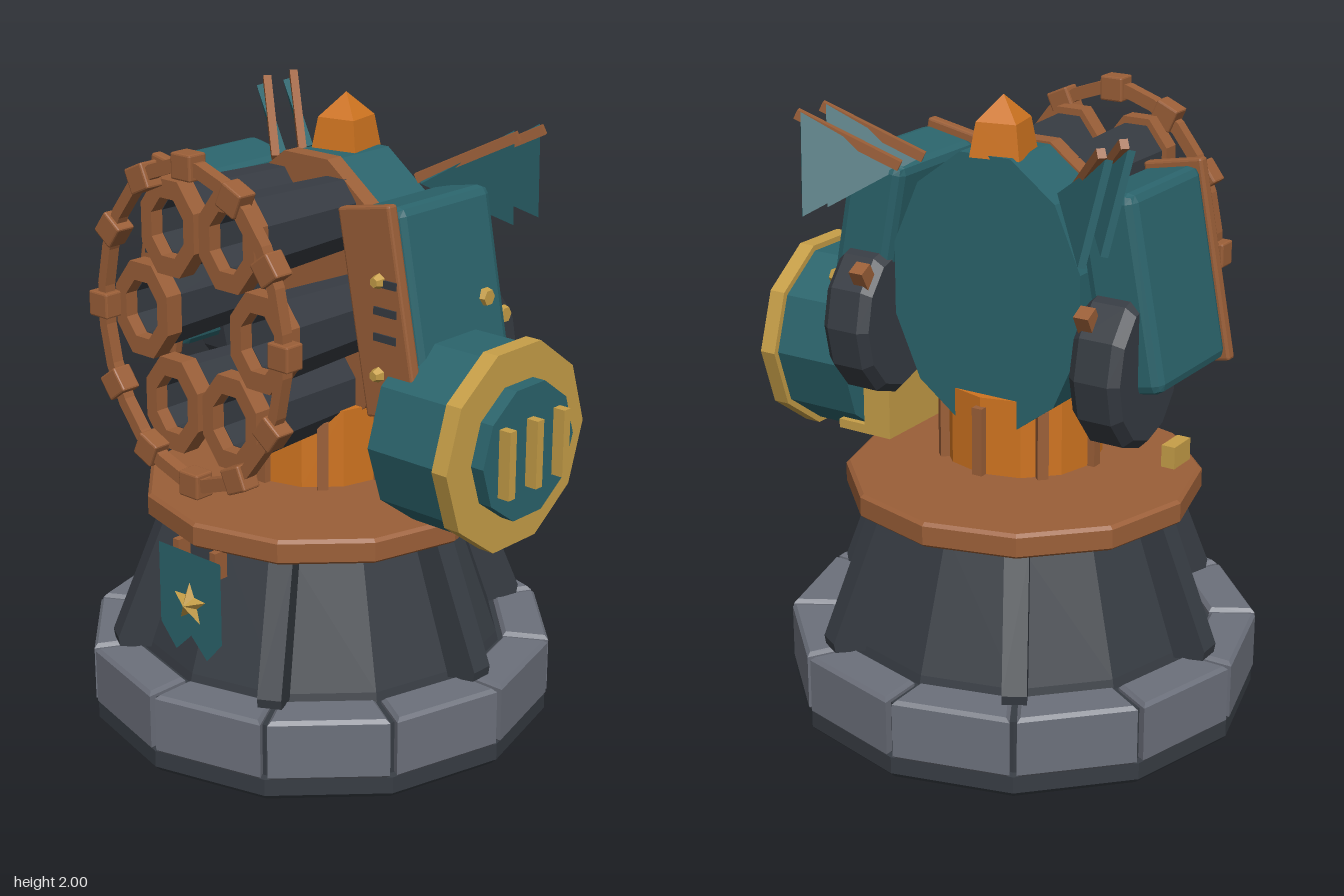
import * as THREE from 'three';
import { RoundedBoxGeometry } from 'three/addons/geometries/RoundedBoxGeometry.js';
import { ConvexGeometry } from 'three/addons/geometries/ConvexGeometry.js';

const mat = (name, color, side = THREE.FrontSide) => new THREE.MeshStandardMaterial({ name, color, side });
const V = (x, y, z) => new THREE.Vector3(x, y, z);

export function createModel() {
  const teal = mat('teal paint', 0x2b646c);
  const cloth = mat('teal cloth', 0x2b646c, THREE.DoubleSide);
  const copper = mat('copper', 0x9b5f38);
  const dark = mat('dark iron', 0x373c43);
  const stone = mat('grey stone', 0x6c707b);
  const gold = mat('gold', 0xc79f48);
  const orange = mat('orange', 0xcf7420);

  const model = new THREE.Group();
  model.name = 'turret';
  const body = new THREE.Group();
  body.name = 'turretBody';
  body.position.x = -0.07;
  model.add(body);

  // Adds a mesh with faceted normals
  function add(name, geo, material, x = 0, y = 0, z = 0, parent = body) {
    const flat = geo.index ? geo.toNonIndexed() : geo;
    flat.computeVertexNormals();
    const m = new THREE.Mesh(flat, material);
    m.name = name;
    m.position.set(x, y, z);
    parent.add(m);
    return m;
  }
  const box = (w, h, d) => new THREE.BoxGeometry(w, h, d);
  const chamferBox = (w, h, d, b) => new RoundedBoxGeometry(w, h, d, 1, b);
  const cyl = (r0, r1, h, n) => new THREE.CylinderGeometry(r1, r0, h, n);
  const lathe = (pts, n) => new THREE.LatheGeometry(pts.map(p => new THREE.Vector2(...p)), n);
  const ngon = (r, n) => Array.from({ length: n }, (_, i) => {
    const a = (i + 0.5) * 2 * Math.PI / n;
    return new THREE.Vector2(r * Math.cos(a), r * Math.sin(a));
  });
  function ringPlate(outer, inner, depth, n) {
    const s = new THREE.Shape(ngon(outer, n));
    s.holes.push(new THREE.Path(ngon(inner, n)));
    return new THREE.ExtrudeGeometry(s, { depth, bevelEnabled: false });
  }

  // Base: footing, stone ring, iron cone and copper deck
  add('footing', lathe([[0, 0], [0.73, 0], [0.75, 0.02], [0.75, 0.075], [0.73, 0.08], [0.73, 0.25], [0.58, 0.25]], 12), dark);
  add('cone', lathe([[0.61, 0.18], [0.585, 0.28], [0.44, 0.7], [0, 0.7]], 12), dark);
  add('deck', lathe([[0, 0.7], [0.555, 0.7], [0.567, 0.71], [0.567, 0.77], [0.555, 0.78], [0, 0.78]], 12), copper);

  const wedge = new THREE.Shape();
  const half = Math.tan(Math.PI / 12), gap = 0.022, rIn = 0.6, rOut = 0.722;
  wedge.moveTo(rIn, -(rIn * half - gap));
  wedge.lineTo(rOut, -(rOut * half - gap));
  wedge.lineTo(rOut, rOut * half - gap);
  wedge.lineTo(rIn, rIn * half - gap);
  for (let i = 0; i < 12; i++) {
    const g = new THREE.ExtrudeGeometry(wedge, { depth: 0.176, bevelSize: 0.012, bevelThickness: 0.012, bevelSegments: 1 });
    g.rotateX(-Math.PI / 2);
    add('stoneBlock', g, stone, 0, 0.084, 0).rotation.y = (i + 0.5) * Math.PI / 6;
  }

  // Sloping ribs on the cone
  const ribSide = new THREE.Shape([[0.56, 0.26], [0.68, 0.28], [0.685, 0.31], [0.525, 0.7], [0.42, 0.7]].map(p => new THREE.Vector2(...p)));
  for (let i = 0; i < 6; i++) {
    const g = new THREE.ExtrudeGeometry(ribSide, { depth: 0.075, bevelEnabled: false });
    g.translate(0, 0, -0.0375);
    add('coneRib', g, dark).rotation.y = i * Math.PI / 3;
  }

  // Hanging banner with a star
  const flag = new THREE.Shape([[-0.135, 0.69], [-0.135, 0.42], [-0.068, 0.345], [0, 0.41], [0.068, 0.345], [0.135, 0.42], [0.135, 0.69]]
    .map(p => new THREE.Vector2(...p)));
  add('banner', new THREE.ShapeGeometry(flag), cloth, 0, 0, 0.585);
  const star = new THREE.ConeGeometry(1, 0.03, 10, 1);
  const sp = star.attributes.position;
  for (let i = 0; i < sp.count; i++) {
    const a = Math.atan2(sp.getX(i), sp.getZ(i));
    const r = Math.hypot(sp.getX(i), sp.getZ(i)) * (Math.round(a / (Math.PI / 5)) % 2 ? 0.072 : 0.032);
    sp.setXYZ(i, r * Math.sin(a), sp.getY(i), r * Math.cos(a));
  }
  star.rotateX(Math.PI / 2);
  add('bannerStar', star, gold, 0, 0.52, 0.602);
  for (const s of [-1, 1]) add('bannerHook', box(0.025, 0.09, 0.05), copper, s * 0.08, 0.66, 0.54);

  // Swivel neck
  add('swivel', cyl(0.25, 0.25, 0.25, 12), orange, 0, 0.955, 0);
  for (let i = 0; i < 8; i++) {
    const a = i * Math.PI / 4;
    add('swivelRib', box(0.035, 0.22, 0.04), copper, 0.25 * Math.sin(a), 0.94, 0.25 * Math.cos(a)).rotation.y = a;
  }

  // Oval gun head: drum, face plate, six barrels and outer muzzle ring
  const gun = new THREE.Group();
  gun.name = 'gunHead';
  gun.position.y = 1.4;
  gun.scale.x = 0.77;
  body.add(gun);
  const facing = (g, n) => g.rotateY(Math.PI / n).rotateX(Math.PI / 2);
  add('drum', facing(cyl(0.445, 0.445, 0.22, 12), 12), teal, 0, 0, -0.11, gun);
  add('facePlate', facing(cyl(0.452, 0.452, 0.06, 12), 12), copper, 0, 0, 0.03, gun);
  for (let i = 0; i < 6; i++) {
    const a = i * Math.PI / 3, x = 0.32 * Math.cos(a), y = 0.32 * Math.sin(a);
    const barrel = lathe([[0.118, 0.05], [0.135, 0.48], [0.094, 0.48], [0.094, 0.2], [0, 0.2]], 8);
    add('barrel', facing(barrel, 8), dark, x, y, 0, gun);
    add('muzzleCollar', ringPlate(0.158, 0.096, 0.06, 8), copper, x, y, 0.465, gun);
  }
  add('muzzleRing', ringPlate(0.51, 0.468, 0.04, 24), copper, 0, 0, 0.53, gun);
  for (let i = 0; i < 12; i++) {
    const a = i * Math.PI / 6;
    const x = 0.38 * Math.cos(a), y = 0.49 * Math.sin(a);
    add('ringBlock', chamferBox(0.08, 0.08, 0.068, 0.006), copper, x, 1.4 + y, 0.55).rotation.z = Math.atan2(y, x);
  }

  // Crystal on top
  const crystal = lathe([[0, 1.8], [0.112, 1.82], [0.09, 1.925], [0, 2]], 4);
  crystal.rotateY(Math.PI / 4 + 0.2);
  add('crystal', crystal, orange, -0.015, 0, -0.14);

  // Mirrored side parts
  for (const s of [-1, 1]) {
    const pod = new THREE.Group();
    pod.name = s > 0 ? 'leftPod' : 'rightPod';
    pod.position.set(s * 0.455, 1.47, 0);
    pod.rotation.z = s * 0.19;
    body.add(pod);
    add('podCase', chamferBox(0.2, 0.6, 0.42, 0.03), teal, 0, 0, -0.01, pod);
    add('podPlate', chamferBox(0.2, 0.63, 0.04, 0.008), copper, 0, 0, 0.222, pod);

    for (const y of [1.565, 1.48, 1.4]) add('ventSlot', box(0.085, 0.024, 0.006), dark, s * 0.487, y, 0.244);
    for (const y of [1.57, 1.285]) {
      add('plateStud', cyl(0.026, 0.015, 0.03, 6).rotateX(Math.PI / 2), gold, s * 0.462, y, 0.252);
    }

    // Rear iron wheel
    const wheel = lathe([[0, -0.085], [0.22, -0.085], [0.25, -0.055], [0.25, 0.055], [0.22, 0.085], [0, 0.085]], 12);
    wheel.rotateZ(-Math.PI / 2);
    add('rearWheel', wheel, dark, s * 0.445, 1.24, -0.15).scale.z = 0.8;
    add('wheelLug', box(0.05, 0.07, 0.05), copper, s * 0.4, 1.41, -0.295).rotation.x = -0.5;

    // Swept fins with copper leading edges
    for (const dz of [0, 0.125]) {
      const A = V(s * 0.53, 1.93, -0.41 + dz), B = V(s * 0.485, 1.63, -0.475 + dz), C = V(s * 0.29, 1.765, -0.265 + dz);
      const n = B.clone().sub(A).cross(C.clone().sub(A)).normalize().multiplyScalar(0.012);
      add('fin', new ConvexGeometry([A, B, C].flatMap(p => [p.clone().add(n), p.clone().sub(n)])), teal);
      const mid = A.clone().add(C).multiplyScalar(0.5);
      const edge = add('finEdge', box(0.026, 0.03, A.distanceTo(C) + 0.02), copper, mid.x, mid.y, mid.z);
      edge.lookAt(edge.position.clone().add(A.clone().sub(C)));
    }
  }

  // Studs on the left side
  for (const [x, y, z] of [[0.555, 1.46, -0.13], [0.53, 1.375, -0.245], [0.53, 1.2, -0.25]]) {
    add('sideStud', cyl(0.035, 0.025, 0.04, 6).rotateZ(-Math.PI / 2), gold, x, y, z);
  }

  // Ammunition drum on the left side
  const ammo = new THREE.Group();
  ammo.name = 'ammoDrum';
  ammo.position.set(0, 1.088, 0.028);
  body.add(ammo);
  for (const [name, r, x0, x1, m] of [['ammoCase', 0.303, 0.5, 0.76, teal], ['ammoRim', 0.322, 0.76, 0.815, gold], ['ammoCap', 0.212, 0.815, 0.86, teal]]) {
    add(name, cyl(r, r, x1 - x0, 10).rotateZ(-Math.PI / 2), m, (x0 + x1) / 2, 0, 0, ammo);
  }
  for (const z of [-0.127, 0, 0.127]) add('ammoBar', box(0.06, 0.21, 0.03), gold, 0.87, 0, z, ammo);

  // Gold brackets
  add('ammoBracket', box(0.1, 0.47, 0.3), gold, 0.45, 1.065, -0.02);
  add('bracketFoot', box(0.1, 0.03, 0.3), gold, 0.55, 0.845, -0.02);
  add('rightBracket', box(0.045, 0.07, 0.1), gold, -0.545, 0.935, 0);

  return model;
}
